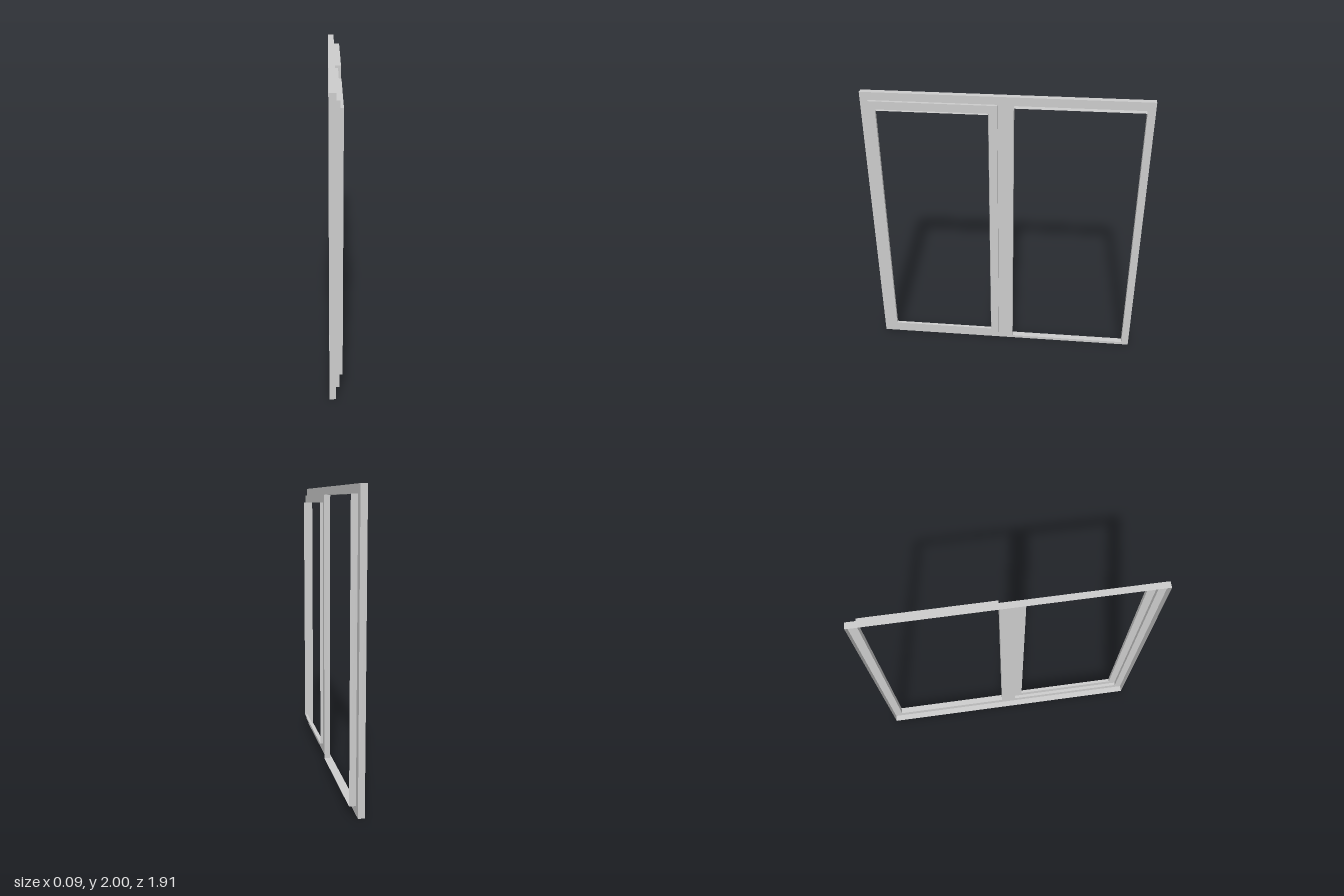
import * as THREE from 'three';
import { mergeGeometries } from 'three/addons/utils/BufferGeometryUtils.js';

// Rectangles in the window plane: [z min, z max, y min, y max]
const OUTER = [-0.957, 0.957, 0, 2];
const SASH = [0.051, 0.904, 0.054, 1.946];
const PANE = [0.108, 0.849, 0.111, 1.891];
const OPENING = [-0.9, -0.058, 0.058, 1.942];

// Depth levels along x
const BACK = -0.043, FACE = 0, STEP = 0.0215, LIP = 0.043;

// Rectangle outline, with u = -z so it can be turned to face +x
function outline([z0, z1, y0, y1], PathType) {
  return new PathType([
    new THREE.Vector2(-z1, y0), new THREE.Vector2(-z0, y0),
    new THREE.Vector2(-z0, y1), new THREE.Vector2(-z1, y1),
  ]);
}

// Flat sheet facing +x with rectangular holes
function sheet(rect, holes, x) {
  const shape = outline(rect, THREE.Shape);
  shape.holes = holes.map((h) => outline(h, THREE.Path));
  return new THREE.ShapeGeometry(shape).rotateY(Math.PI / 2).translate(x, 0, 0);
}

// Four thin walls around a rectangle, running from depth x0 to x1
function walls([z0, z1, y0, y1], x0, x1) {
  const d = x1 - x0, w = z1 - z0, h = y1 - y0;
  const xm = (x0 + x1) / 2, ym = (y0 + y1) / 2, zm = (z0 + z1) / 2;
  return mergeGeometries([
    new THREE.PlaneGeometry(d, h).translate(xm, ym, z1),
    new THREE.PlaneGeometry(d, h).rotateY(Math.PI).translate(xm, ym, z0),
    new THREE.PlaneGeometry(d, w).rotateX(-Math.PI / 2).translate(xm, y1, zm),
    new THREE.PlaneGeometry(d, w).rotateX(Math.PI / 2).translate(xm, y0, zm),
  ]);
}

export function createModel() {
  const model = new THREE.Group();
  model.name = 'slidingWindow';
  const material = new THREE.MeshStandardMaterial({ color: 0xcccccc, side: THREE.DoubleSide });

  const add = (name, geometry) => {
    const mesh = new THREE.Mesh(geometry, material);
    mesh.name = name;
    model.add(mesh);
  };

  // Main frame: a shell open at the back
  add('frameSides', walls(OUTER, BACK, FACE));
  add('frameFace', sheet(OUTER, [SASH, OPENING], FACE));

  // Raised sash around one pane, with a thin lip
  add('sashSides', walls(SASH, FACE, STEP));
  add('sashFace', sheet(SASH, [PANE], STEP));
  add('sashLip', walls(PANE, STEP, LIP));

  // Thin lip around the other opening
  add('openingLip', walls(OPENING, FACE, LIP));

  return model;
}
